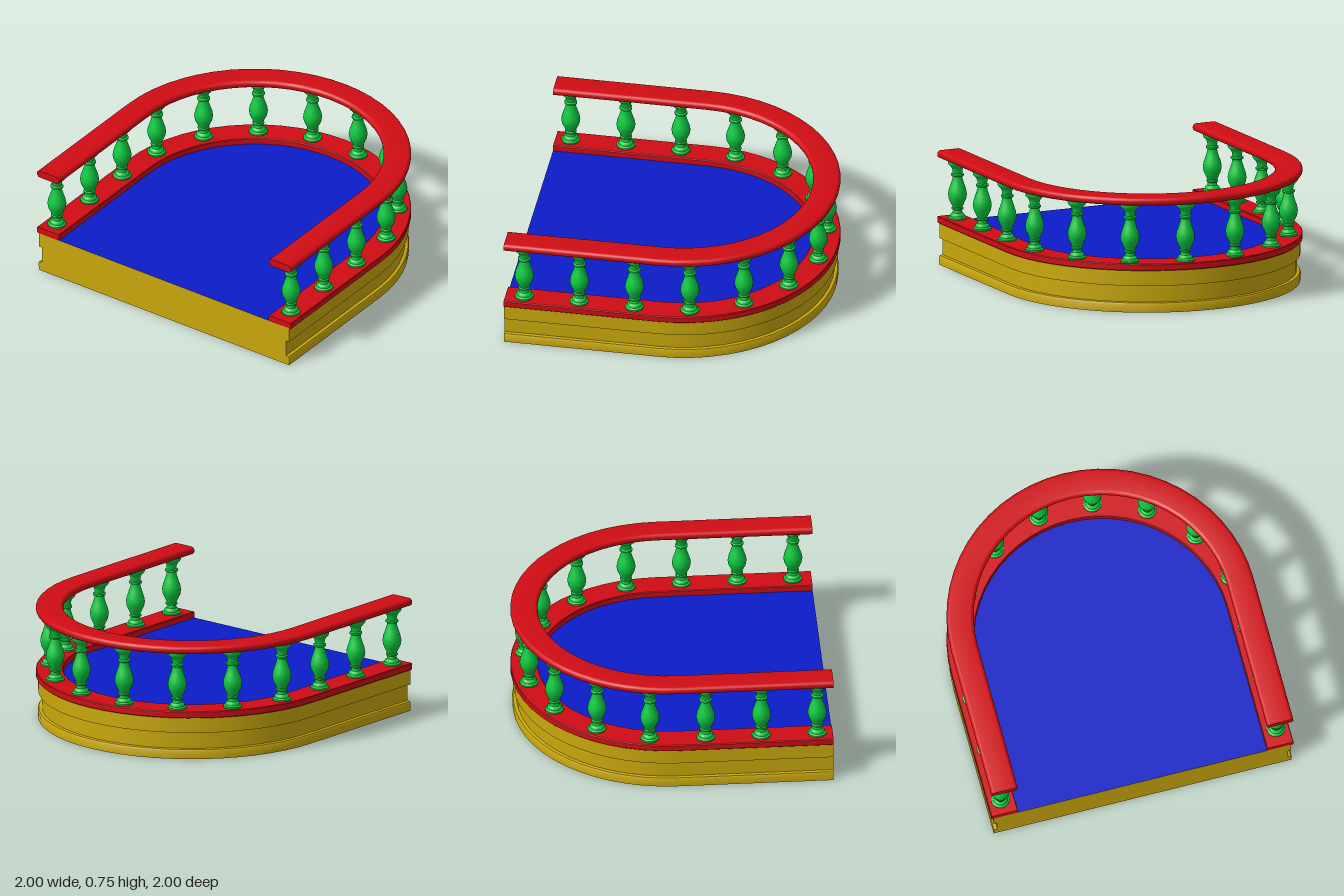
import * as THREE from 'three';
import { toCreasedNormals } from 'three/addons/utils/BufferGeometryUtils.js';

const ARC = 28;          // facets around the half circle
const FRONT = 1;         // z of the open front edge
const MID = 0.915;       // centre line of the railing

const mat = (color) => new THREE.MeshStandardMaterial({ color });
const gold = mat(0xc9a80c), red = mat(0xd00c14), green = mat(0x0cc840), blue = mat(0x0c1cc8);

function addMesh(parent, name, geometry, material) {
  const mesh = new THREE.Mesh(geometry, material);
  mesh.name = name;
  parent.add(mesh);
  return mesh;
}

// Stations along the U: left front, round the back, right front
function stations() {
  const list = [[1, 0, FRONT]];
  for (let i = 0; i <= ARC; i++) {
    const a = (Math.PI * i) / ARC;
    list.push([Math.cos(a), -Math.sin(a), 0]);
  }
  list.push([-1, 0, FRONT]);
  return list;
}

// Sweep a counter-clockwise (radius, height) profile along the U
function sweepU(profile, closed) {
  const st = stations();
  const pos = [], index = [], n = profile.length;
  for (const [dx, dz, z] of st)
    for (const [r, y] of profile) pos.push(r * dx, y, r * dz + z);
  for (let i = 0; i < st.length - 1; i++)
    for (let j = 0; j < (closed ? n : n - 1); j++) {
      const k = (j + 1) % n;
      const a = i * n + j, b = a + n, c = (i + 1) * n + k, d = i * n + k;
      index.push(a, b, c, a, c, d);
    }
  const g = new THREE.BufferGeometry();
  g.setAttribute('position', new THREE.Float32BufferAttribute(pos, 3));
  g.setIndex(index);
  return toCreasedNormals(g, 0.6);
}

// Flat polygon facing +z
const flat = (pts) => new THREE.ShapeGeometry(new THREE.Shape(pts.map(([x, y]) => new THREE.Vector2(x, y))));

// Horizontal U-shaped slab face, facing up or down
function floorU(r, y, up) {
  const s = up ? -1 : 1;
  const pts = stations().map(([dx, dz, z]) => [r * dx, s * (r * dz + z)]);
  return flat(pts).rotateX((s * Math.PI) / 2).translate(0, y, 0);
}

// Rail with capped ends
function rail(name, profile) {
  const g = new THREE.Group();
  g.name = name;
  addMesh(g, name + 'Body', sweepU(profile, true), red);
  for (const s of [1, -1])
    addMesh(g, name + 'End', flat(profile.map(([r, y]) => [s * r, y])).translate(0, 0, FRONT), red);
  return g;
}

// Rectangle profile with rounded corners
function roundedProfile(r0, r1, y0, y1, c, steps) {
  const pts = [];
  const corners = [[r1 - c, y0 + c], [r1 - c, y1 - c], [r0 + c, y1 - c], [r0 + c, y0 + c]];
  corners.forEach(([cx, cy], q) => {
    for (let i = 0; i <= steps; i++) {
      const a = (q - 1 + i / steps) * (Math.PI / 2);
      pts.push([cx + c * Math.cos(a), cy + c * Math.sin(a)]);
    }
  });
  return pts;
}

export function createModel() {
  const model = new THREE.Group();
  model.name = 'balcony';

  // Base with a recessed band between two mouldings
  const base = new THREE.Group();
  base.name = 'base';
  const wall = [[0.985, 0], [0.988, 0.05], [0.982, 0.062], [0.962, 0.065],
    [0.962, 0.175], [0.985, 0.175], [0.985, 0.28]];
  addMesh(base, 'baseWall', sweepU(wall, false), gold);
  const mirrored = wall.map(([r, y]) => [-r, y]).reverse();
  addMesh(base, 'baseFront', flat([...wall, ...mirrored]).translate(0, 0, FRONT), gold);
  addMesh(base, 'baseUnderside', floorU(0.985, 0, false), gold);
  addMesh(base, 'deck', floorU(0.985, 0.28, true), blue);
  model.add(base);

  // Bottom rail and handrail
  model.add(rail('bottomRail', roundedProfile(0.825, 1, 0.276, 0.32, 0.004, 1)));
  model.add(rail('handrail', roundedProfile(0.825, 1, 0.7, 0.75, 0.023, 5)));

  // Turned balusters, evenly spaced along the U
  const profile = [[0, 0.318], [0.06, 0.318], [0.06, 0.33], [0.048, 0.338], [0.045, 0.35],
    [0.032, 0.36], [0.029, 0.378], [0.038, 0.383], [0.038, 0.392], [0.031, 0.397], [0.042, 0.42],
    [0.056, 0.45], [0.061, 0.48], [0.056, 0.51], [0.044, 0.545], [0.033, 0.58], [0.031, 0.598],
    [0.041, 0.603], [0.041, 0.614], [0.031, 0.62], [0.033, 0.642], [0.042, 0.66],
    [0.055, 0.672], [0.061, 0.682], [0.061, 0.702], [0, 0.702]];
  const turned = toCreasedNormals(
    new THREE.LatheGeometry(profile.map(([r, y]) => new THREE.Vector2(r, y)), 20), 0.7);
  const balusters = new THREE.Group();
  balusters.name = 'balusters';
  const arcLength = Math.PI * MID, count = 14, start = 0.12;
  const step = (2 * FRONT + arcLength - 0.22) / (count - 1);
  for (let i = 0; i < count; i++) {
    const d = start + i * step - FRONT;           // distance past the left straight run
    const a = THREE.MathUtils.clamp(d / MID, 0, Math.PI);
    const z = d < 0 ? -d : Math.max(0, d - arcLength);
    addMesh(balusters, 'baluster', turned, green)
      .position.set(MID * Math.cos(a), 0, z - MID * Math.sin(a));
  }
  model.add(balusters);
  return model;
}
